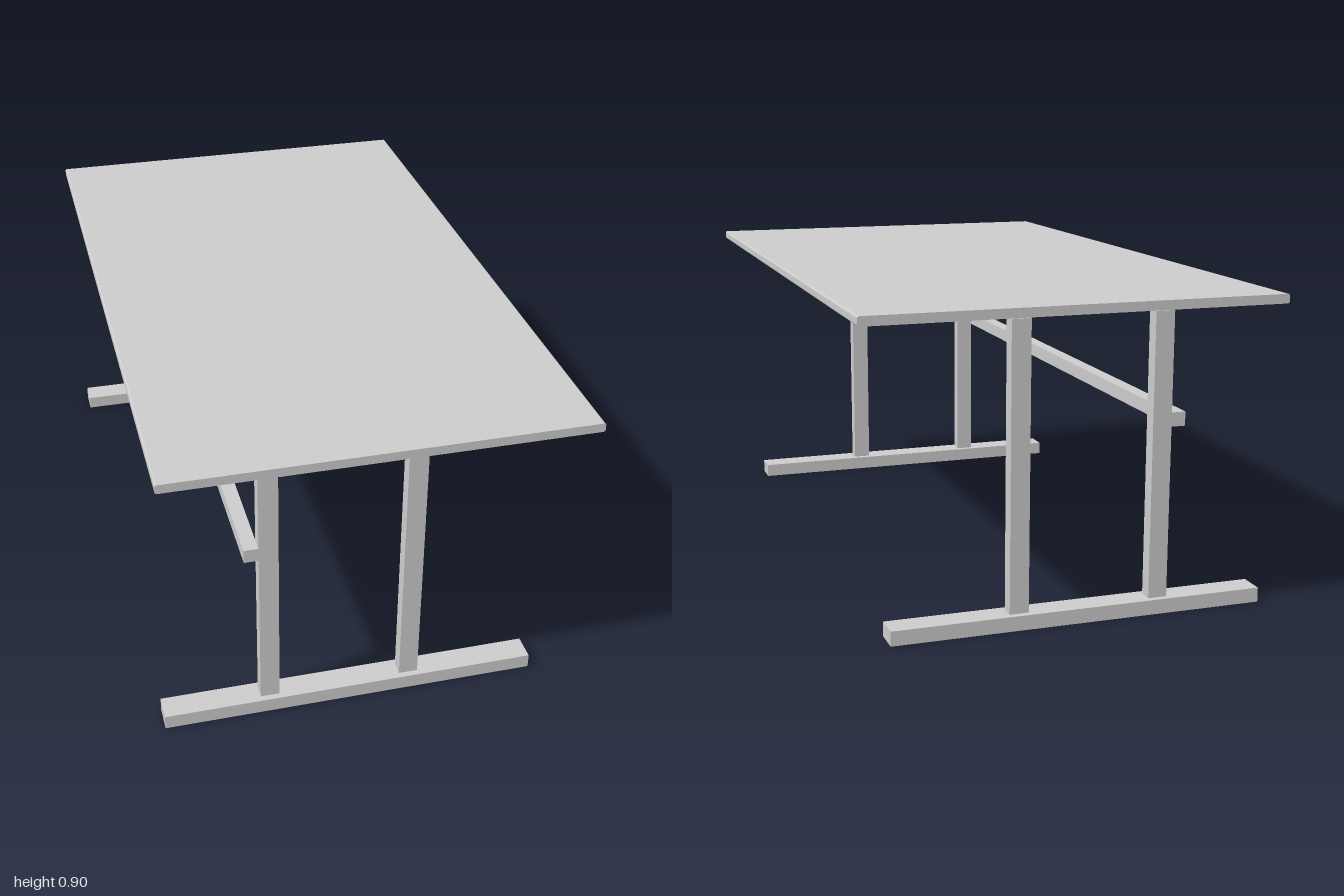
import * as THREE from 'three';

const material = new THREE.MeshStandardMaterial({ color: 0xcccccc });

// Box given by its minimum and maximum corners
function bar(name, [x0, y0, z0], [x1, y1, z1]) {
  const mesh = new THREE.Mesh(new THREE.BoxGeometry(x1 - x0, y1 - y0, z1 - z0), material);
  mesh.position.set((x0 + x1) / 2, (y0 + y1) / 2, (z0 + z1) / 2);
  mesh.name = name;
  return mesh;
}

// Thin board with softly rounded long edges, extruded along z
function tabletop(halfWidth, y0, y1, length, r) {
  const w = halfWidth;
  const s = new THREE.Shape();
  s.moveTo(-w + r, y0);
  s.lineTo(w - r, y0);
  s.absarc(w - r, y0 + r, r, -Math.PI / 2, 0);
  s.lineTo(w, y1 - r);
  s.absarc(w - r, y1 - r, r, 0, Math.PI / 2);
  s.lineTo(-w + r, y1);
  s.absarc(-w + r, y1 - r, r, Math.PI / 2, Math.PI);
  s.lineTo(-w, y0 + r);
  s.absarc(-w + r, y0 + r, r, Math.PI, Math.PI * 1.5);
  const geometry = new THREE.ExtrudeGeometry(s, { depth: length, bevelEnabled: false, curveSegments: 4 });
  geometry.translate(0, 0, -length / 2);
  const mesh = new THREE.Mesh(geometry, material);
  mesh.name = 'tabletop';
  return mesh;
}

export function createModel() {
  const table = new THREE.Group();
  table.name = 'table';
  table.add(tabletop(0.592, 0.873, 0.899, 2, 0.006));

  // One trestle at each end: a foot carrying two posts
  for (const [end, z] of [['front', 0.868], ['back', -0.868]]) {
    const trestle = new THREE.Group();
    trestle.name = `${end}Trestle`;
    trestle.position.z = z;
    trestle.add(bar('foot', [-0.59, 0, -0.038], [0.492, 0.042, 0.038]));
    for (const [side, x] of [['right', -0.284], ['left', 0.126]]) {
      trestle.add(bar(`${side}Leg`, [x - 0.0275, 0.042, -0.02], [x + 0.0275, 0.852, 0.02]));
    }
    table.add(trestle);
  }

  // Long rail fixed to the outer side of the right legs
  table.add(bar('stretcherRail', [-0.352, 0.53, -0.888], [-0.3115, 0.57, 0.888]));
  return table;
}
